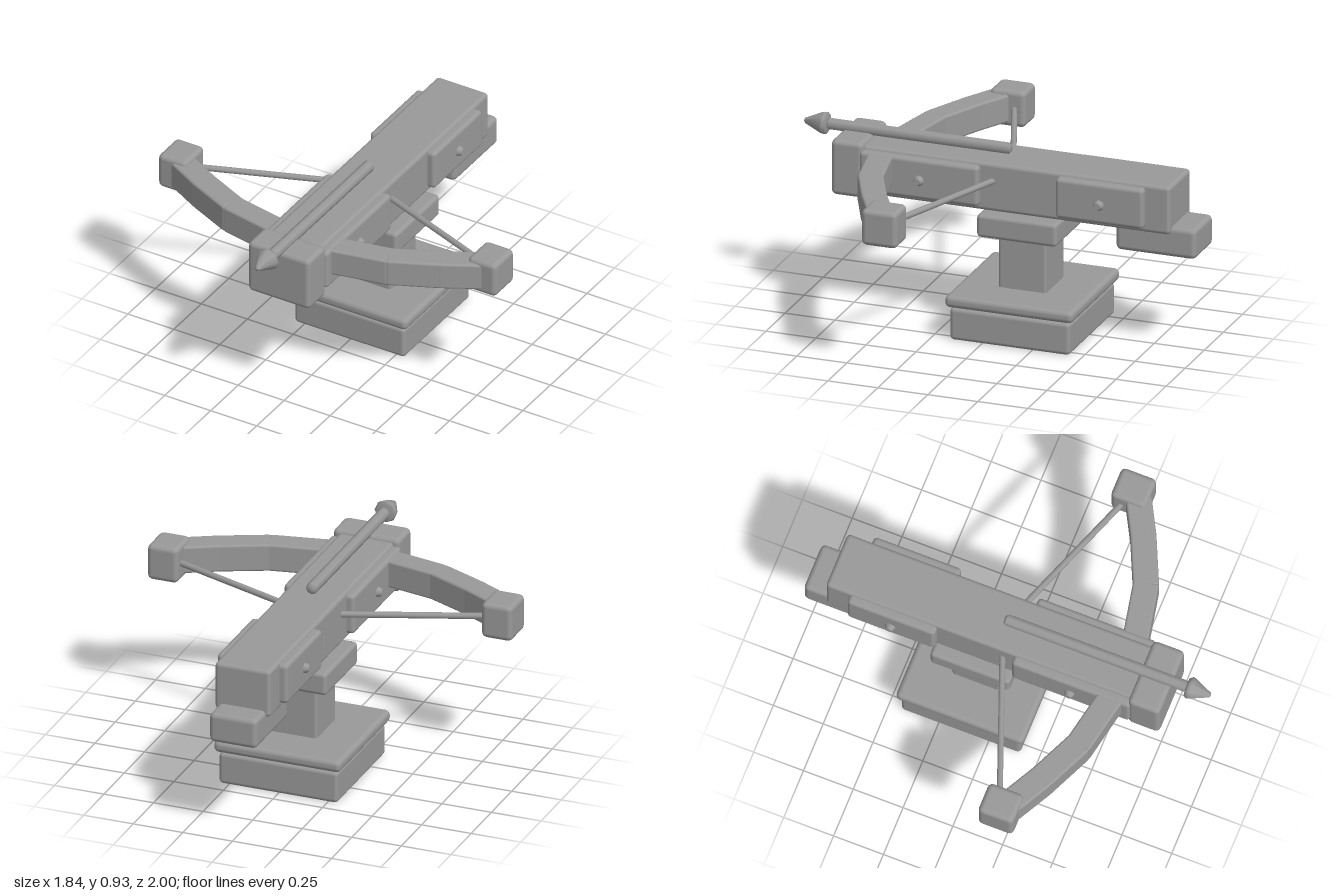
import * as THREE from 'three';
import { RoundedBoxGeometry } from 'three/addons/geometries/RoundedBoxGeometry.js';

export function createModel() {
  const model = new THREE.Group();
  model.name = 'mountedCrossbow';
  const grey = new THREE.MeshStandardMaterial({ color: 0x999999 });
  grey.name = 'plain grey';

  const add = (name, geometry) => {
    const mesh = new THREE.Mesh(geometry, grey);
    mesh.name = name;
    model.add(mesh);
    return mesh;
  };

  // Softly bevelled block given by its min and max on each axis
  const block = (name, [x0, x1], [y0, y1], [z0, z1], bevel = 0.02) => {
    const mesh = add(name, new RoundedBoxGeometry(x1 - x0, y1 - y0, z1 - z0, 2, bevel));
    mesh.position.set((x0 + x1) / 2, (y0 + y1) / 2, (z0 + z1) / 2);
    return mesh;
  };

  // Round bar between two points
  const bar = (name, a, b, radius, sides) => {
    const dir = b.clone().sub(a);
    const mesh = add(name, new THREE.CylinderGeometry(radius, radius, dir.length(), sides));
    mesh.position.copy(a).add(b).multiplyScalar(0.5);
    mesh.quaternion.setFromUnitVectors(new THREE.Vector3(0, 1, 0), dir.normalize());
    return mesh;
  };

  // Pedestal
  block('base', [-0.3, 0.3], [0, 0.16], [-0.44, 0.16]);
  block('basePlate', [-0.32, 0.32], [0.165, 0.225], [-0.46, 0.18], 0.025);
  block('column', [-0.12, 0.12], [0.2, 0.52], [-0.255, -0.015], 0.015);
  block('columnCap', [-0.2, 0.2], [0.49, 0.605], [-0.335, 0.065]);

  // Stock
  block('stock', [-0.14, 0.14], [0.605, 0.845], [-0.88, 0.7]);
  block('noseBlock', [-0.168, 0.168], [0.59, 0.865], [0.645, 0.805], 0.025);
  block('rearGrip', [-0.12, 0.12], [0.49, 0.64], [-1, -0.6], 0.025);

  // Bow limb centre line on the left side, as (x, z)
  const limb = [[0.13, 0.565], [0.2, 0.55], [0.425, 0.505], [0.645, 0.405], [0.83, 0.305]];

  for (const s of [1, -1]) {
    const side = s > 0 ? 'left' : 'right';
    const span = s > 0 ? [0.11, 0.178] : [-0.178, -0.11];

    // Cheek plates with rivets
    block(side + 'FrontPlate', span, [0.63, 0.83], [0.065, 0.66]);
    block(side + 'RearPlate', span, [0.63, 0.83], [-0.76, -0.32]);
    for (const z of [0.36, -0.54]) {
      const rivet = add(side + 'Rivet', new THREE.CylinderGeometry(0.016, 0.03, 0.03, 8));
      rivet.rotation.z = -s * Math.PI / 2;
      rivet.position.set(s * 0.186, 0.725, z);
    }

    // Curved limb made of straight sections
    for (let i = 0; i < limb.length - 1; i++) {
      const [x0, z0] = limb[i], [x1, z1] = limb[i + 1];
      const length = Math.hypot(x1 - x0, z1 - z0) + 0.02;
      const part = add(side + 'LimbSection', new RoundedBoxGeometry(length, 0.137, 0.122, 2, 0.012));
      part.position.set(s * (x0 + x1) / 2, 0.757, (z0 + z1) / 2);
      part.rotation.y = s * Math.atan2(z0 - z1, x1 - x0);
    }
    block(side + 'LimbTip', s > 0 ? [0.765, 0.92] : [-0.92, -0.765], [0.667, 0.847], [0.19, 0.367], 0.025);

    // Drawn string
    bar(side + 'String', new THREE.Vector3(s * 0.8, 0.757, 0.255), new THREE.Vector3(s * 0.12, 0.757, 0), 0.015, 8);
  }

  // Bolt lying on the stock
  const shaft = [[0, -0.035], [0.018, -0.035], [0.029, -0.022], [0.029, 0.87], [0.018, 0.885], [0, 0.885]];
  const head = [[0, 0.88], [0.046, 0.88], [0.056, 0.892], [0.054, 0.905], [0.012, 0.995], [0, 1]];
  for (const [name, profile] of [['boltShaft', shaft], ['boltHead', head]]) {
    const mesh = add(name, new THREE.LatheGeometry(profile.map(p => new THREE.Vector2(...p)), 8));
    mesh.rotation.x = Math.PI / 2;
    mesh.position.y = 0.877;
  }

  return model;
}
